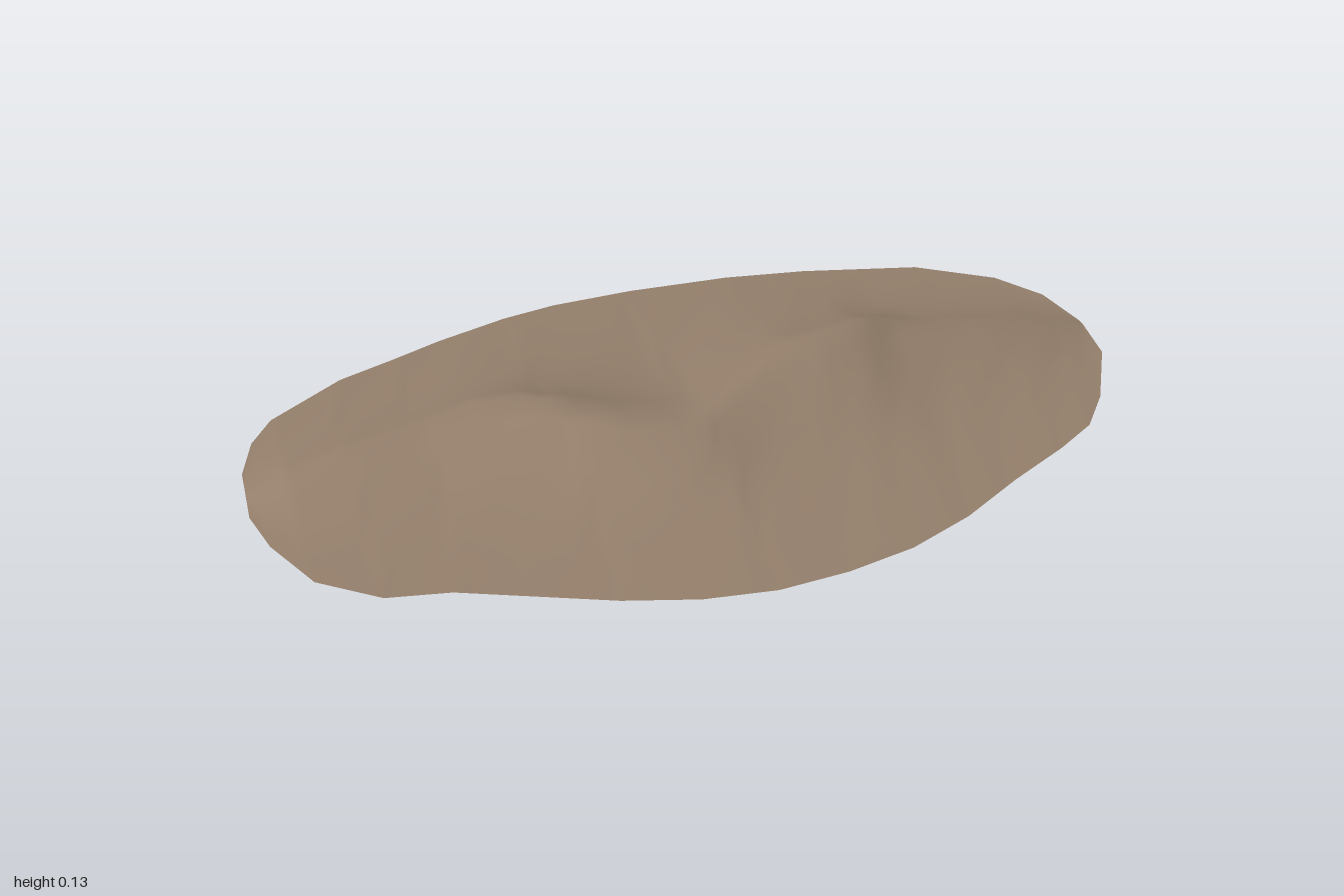
import * as THREE from 'three';

// Control points: [x, value]
const backEdge = [[-1, -.11], [-.97, -.22], [-.92, -.3], [-.75, -.42], [-.62, -.47], [-.5, -.52], [-.33, -.575], [-.2, -.6], [0, -.61], [.25, -.6], [.45, -.57], [.73, -.5], [.9, -.385], [.975, -.27], [1, -.13]];
const frontEdge = [[-1, .05], [-.97, .16], [-.9, .3], [-.78, .39], [-.65, .415], [-.35, .54], [-.2, .585], [-.05, .605], [.1, .595], [.25, .565], [.4, .505], [.55, .42], [.7, .345], [.8, .285], [.88, .19], [.98, .02], [1, -.11]];
const crestZ = [[-1, -.03], [-.8, -.05], [-.62, -.07], [-.5, -.08], [-.4, -.05], [-.3, .01], [-.2, .08], [-.1, .11], [-.03, .095], [.1, -.01], [.2, -.06], [.35, -.09], [.45, -.13], [.6, -.11], [1, -.12]];
const crestY = [[-1, 0], [-.92, .035], [-.8, .055], [-.6, .076], [-.5, .1], [-.4, .112], [-.3, .114], [-.2, .106], [-.1, .094], [0, .093], [.1, .102], [.2, .12], [.3, .126], [.4, .123], [.5, .095], [.6, .075], [.8, .045], [1, 0]];

// Slope profiles: [fraction of the way from crest to edge, fraction of crest height]
const backSlope = [[1, 0], [.8, .07], [.6, .18], [.45, .3], [.3, .46], [.15, .72], [0, 1]];
const frontSlope = [[.1, .85], [.22, .64], [.34, .43], [.46, .25], [.62, .13], [.8, .06], [1, 0]];

function sample(points, x) {
  for (let i = 1; i < points.length; i++) {
    const [x0, v0] = points[i - 1], [x1, v1] = points[i];
    if (x <= x1) return v0 + (v1 - v0) * (x - x0) / (x1 - x0);
  }
  return points[points.length - 1][1];
}

export function createModel() {
  const group = new THREE.Group();
  group.name = 'sandDune';
  const sand = new THREE.MeshStandardMaterial({ color: 0x947f6b, side: THREE.DoubleSide });
  sand.name = 'sand';

  // Stations along the dune, at the corners of its outline and crest
  const stations = [...new Set([...backEdge, ...frontEdge, ...crestZ, ...crestY].map(p => p[0]))].sort((a, b) => a - b);
  const positions = [], index = [];
  const rows = backSlope.length + frontSlope.length;

  // Cross-sections from the back edge over the crest to the front edge
  stations.forEach((x, i) => {
    const cz = sample(crestZ, x), cy = sample(crestY, x);
    const addSlope = (slope, edge) => slope.forEach(([t, h], j) => {
      const ripple = t > 0 && t < 1 ? 0.0015 * Math.sin(i * 2.3 + j * 1.7) * Math.min(1, cy / .05) : 0;
      positions.push(x, Math.max(0, cy * h + ripple), cz + (edge - cz) * t);
    });
    addSlope(backSlope, sample(backEdge, x));
    addSlope(frontSlope, sample(frontEdge, x));
  });

  // Skin between neighbouring cross-sections
  for (let i = 0; i < stations.length - 1; i++) {
    for (let j = 0; j < rows - 1; j++) {
      const a = i * rows + j, b = a + 1, c = a + rows, d = c + 1;
      index.push(a, b, c, b, d, c);
    }
  }

  const geometry = new THREE.BufferGeometry();
  geometry.setAttribute('position', new THREE.Float32BufferAttribute(positions, 3));
  geometry.setIndex(index);
  geometry.computeVertexNormals();
  const dune = new THREE.Mesh(geometry, sand);
  dune.name = 'duneSurface';
  group.add(dune);
  return group;
}
